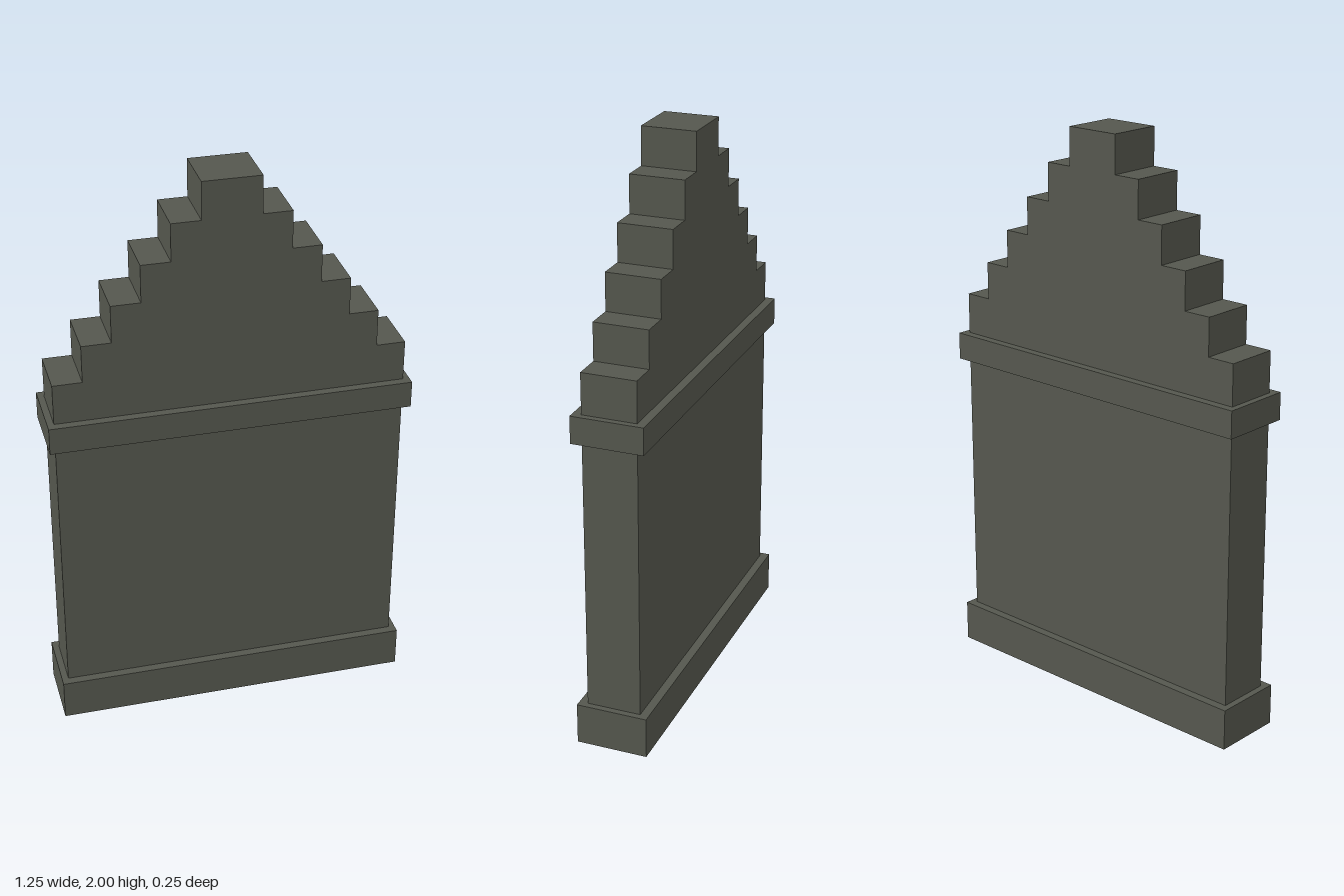
import * as THREE from 'three';

export function createModel() {
  const model = new THREE.Group();
  const stone = new THREE.MeshStandardMaterial({ color: 0x55574e });
  stone.name = 'dark stone';

  function addBlock(name, width, depth, bottom, top) {
    const mesh = new THREE.Mesh(new THREE.BoxGeometry(width, top - bottom, depth), stone);
    mesh.name = name;
    mesh.position.y = (bottom + top) / 2;
    model.add(mesh);
  }

  // Wall with a projecting plinth and cornice
  addBlock('plinth', 1.245, 0.25, 0, 0.145);
  addBlock('wall', 1.2, 0.19, 0.145, 1.105);
  addBlock('cornice', 1.245, 0.25, 1.105, 1.2);

  // Stepped gable: one outline that climbs the right side and descends the left
  const steps = 6, base = 1.2, firstTop = 1.343, rise = (2 - firstTop) / (steps - 1);
  const right = [];
  for (let i = 0; i < steps; i++) {
    const x = 0.1 * (steps - i);
    right.push([x, i === 0 ? base : firstTop + (i - 1) * rise], [x, firstTop + i * rise]);
  }
  const left = right.map(([x, y]) => [-x, y]).reverse();
  const outline = new THREE.Shape([...right, ...left].map(([x, y]) => new THREE.Vector2(x, y)));
  const gableGeometry = new THREE.ExtrudeGeometry(outline, { depth: 0.19, bevelEnabled: false });
  gableGeometry.translate(0, 0, -0.095);
  const gable = new THREE.Mesh(gableGeometry, stone);
  gable.name = 'steppedGable';
  model.add(gable);

  return model;
}
